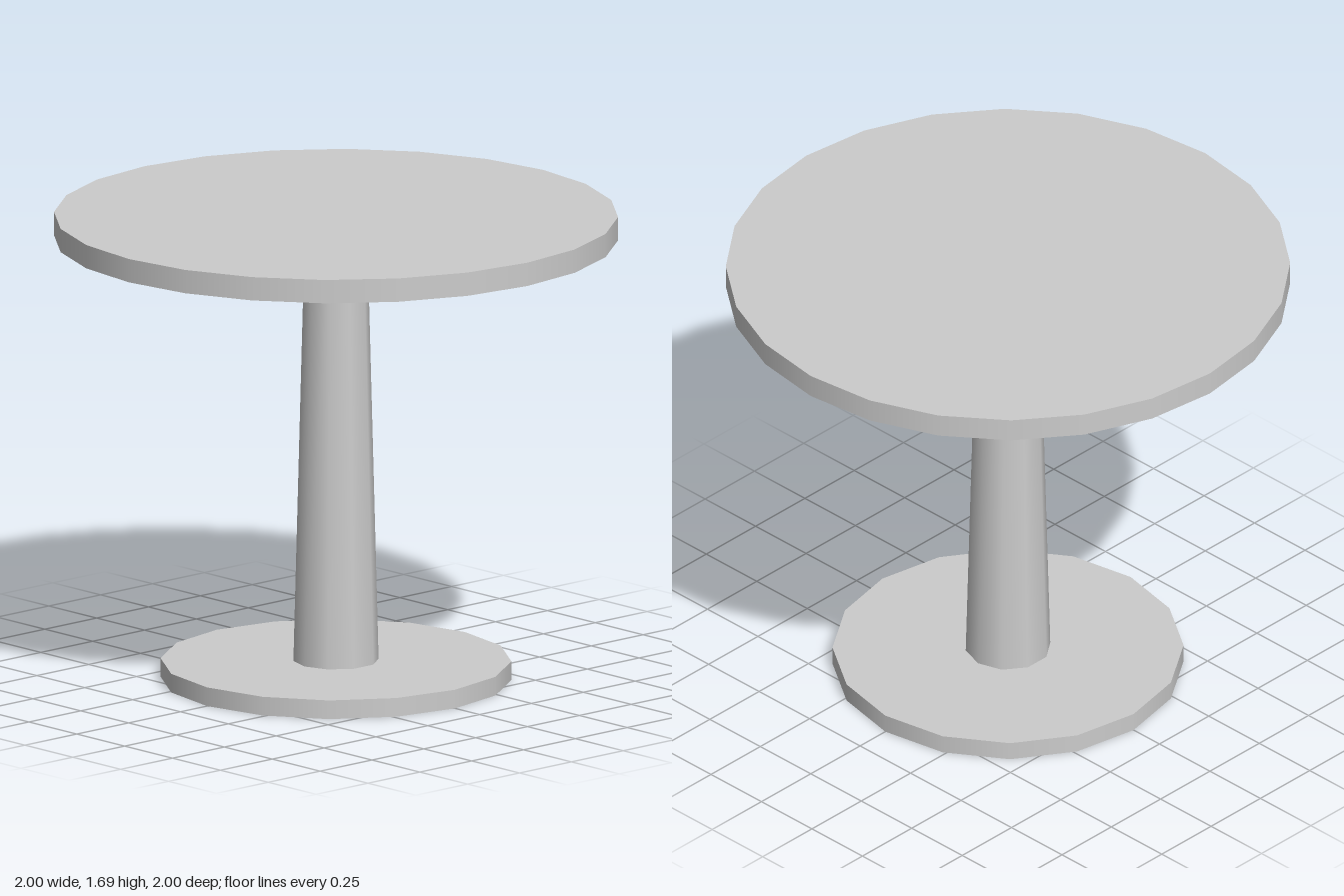
import * as THREE from 'three';

export function createModel() {
  const table = new THREE.Group();
  table.name = 'pedestalTable';

  const grey = new THREE.MeshStandardMaterial({ color: 0xcccccc });
  grey.name = 'light grey';

  // Upright round part between two heights
  function addRound(name, topRadius, bottomRadius, y0, y1, sides) {
    const geometry = new THREE.CylinderGeometry(topRadius, bottomRadius, y1 - y0, sides);
    const mesh = new THREE.Mesh(geometry, grey);
    mesh.name = name;
    mesh.position.y = (y0 + y1) / 2;
    table.add(mesh);
  }

  addRound('base', 0.622, 0.622, 0, 0.068, 16);
  addRound('column', 0.112, 0.152, 0.068, 1.605, 10);
  addRound('tableTop', 1, 1, 1.605, 1.69, 24);

  return table;
}
